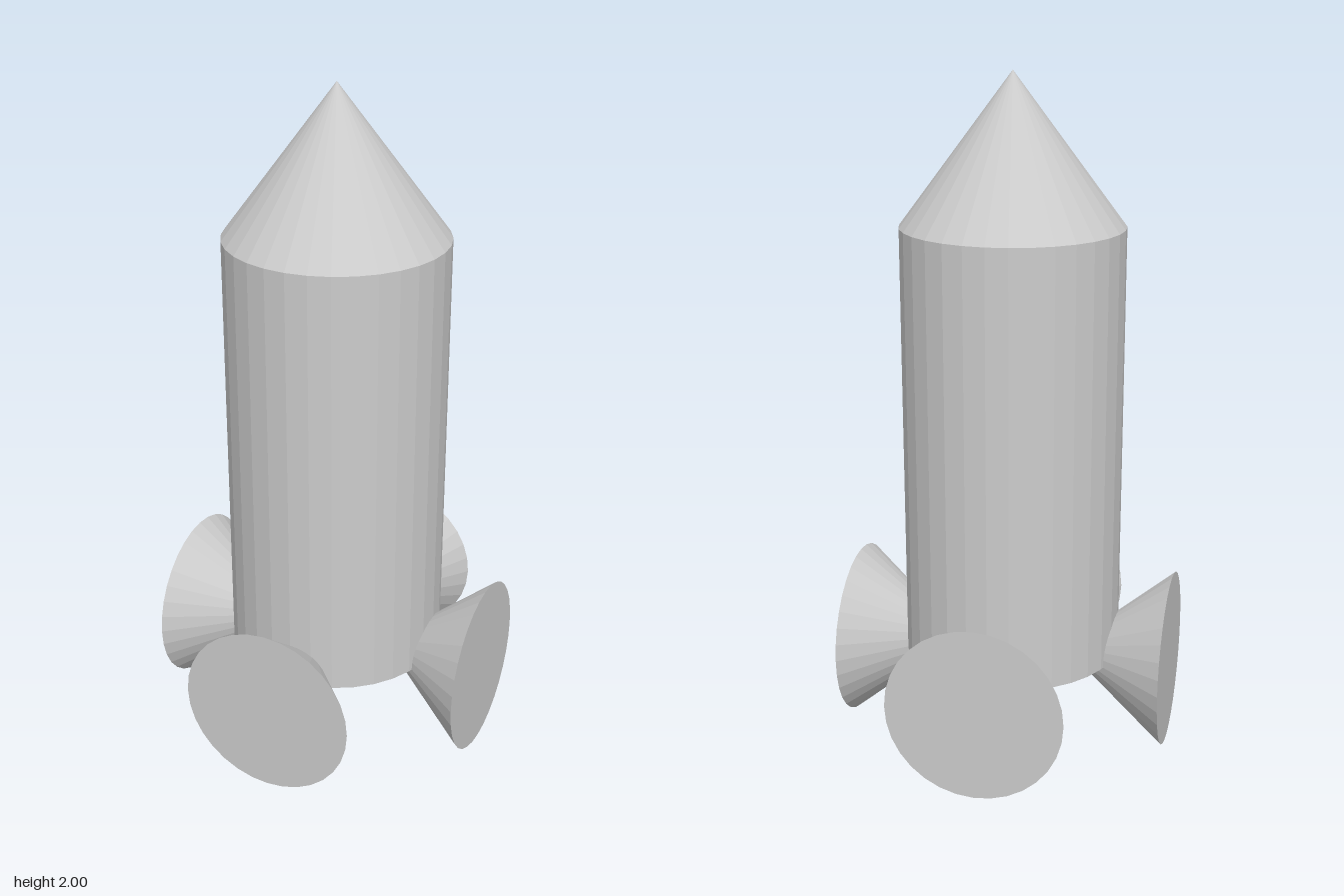
import * as THREE from 'three';

export function createModel() {
  const group = new THREE.Group();
  const material = new THREE.MeshStandardMaterial({ color: 0xcccccc, flatShading: true });
  const SIDES = 32;
  const bodyR = 0.326, bodyH = 1.304, noseH = 0.435, finR = 0.261, finH = 0.326;
  const baseY = finR; // the body's underside is level with the fin axes

  const add = (name, geometry, y) => {
    const mesh = new THREE.Mesh(geometry, material);
    mesh.name = name;
    mesh.position.y = y;
    group.add(mesh);
    return mesh;
  };

  // Cylindrical hull and pointed nose
  add('body', new THREE.CylinderGeometry(bodyR, bodyR, bodyH, SIDES), baseY + bodyH / 2);
  add('noseCone', new THREE.ConeGeometry(bodyR, noseH, SIDES), baseY + bodyH + noseH / 2);

  // Four conical fins with their flat bases facing outward
  const finGeometry = new THREE.ConeGeometry(finR, finH, SIDES);
  finGeometry.rotateX(-Math.PI / 2);
  finGeometry.translate(0, 0, bodyR);
  ['frontFin', 'leftFin', 'backFin', 'rightFin'].forEach((name, i) => {
    add(name, finGeometry, baseY).rotation.y = i * Math.PI / 2;
  });

  return group;
}
